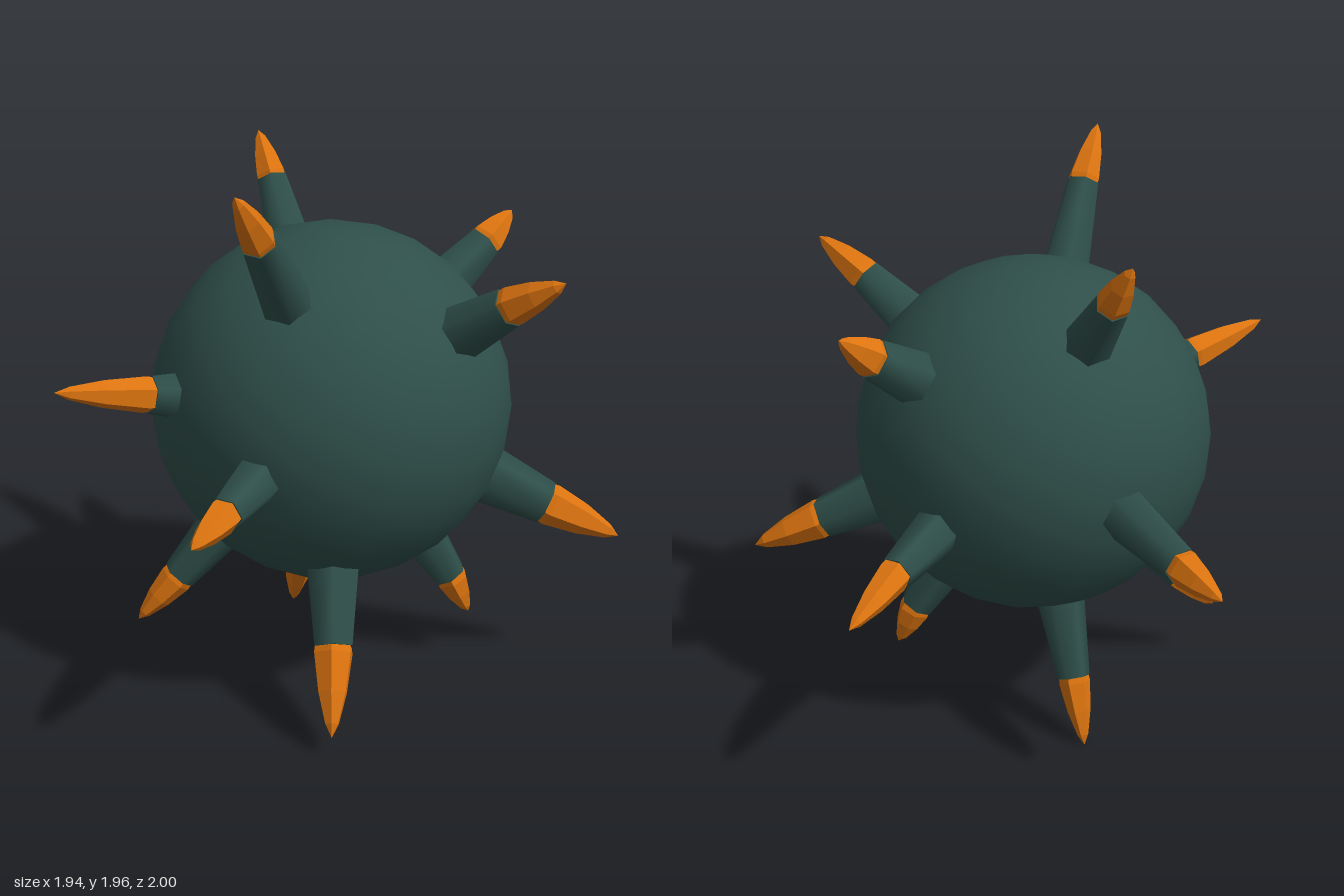
import * as THREE from 'three';

const CENTER = new THREE.Vector3(-0.055, 1.035, 0.047);
const RADIUS = 0.637;
const UP = new THREE.Vector3(0, 1, 0);

// Each spike: stem end, crystal tip, stem end radius
const SPIKES = [
  [[-0.29, 1.78, 0.62], [-0.36, 1.965, 0.76], 0.062],
  [[-0.26, 1.70, -0.48], [-0.31, 1.86, -0.58], 0.06],
  [[0.52, 1.50, 0.44], [0.69, 1.62, 0.56], 0.07],
  [[0.51, 1.49, -0.35], [0.62, 1.59, -0.43], 0.07],
  [[-0.41, 0.93, 0.80], [-0.51, 0.90, 1.0], 0.062],
  [[-0.46, 0.92, -0.81], [-0.56, 0.89, -1.0], 0.066],
  [[0.46, 0.83, -0.61], [0.62, 0.75, -0.84], 0.062],
  [[0.71, 0.67, 0.15], [0.97, 0.55, 0.18], 0.078],
  [[0.38, 0.34, 0.05], [0.45, 0.19, 0.05], 0.062],
  [[-0.06, 0.33, 0.58], [-0.07, 0.08, 0.76], 0.075],
  [[-0.17, 0.23, -0.33], [-0.20, 0.005, -0.43], 0.058],
  [[-0.61, 0.39, 0.13], [-0.76, 0.23, 0.16], 0.062],
  [[-0.67, 1.18, 0.37], [-0.97, 1.25, 0.53], 0.066],
];

// Place a +y aligned mesh at a point, pointing along a direction
function aim(mesh, origin, direction) {
  mesh.position.copy(origin);
  mesh.quaternion.setFromUnitVectors(UP, direction);
  return mesh;
}

// Tapered six-sided stem, sunk into the ball
function makeStem(end, endRadius, material) {
  const direction = end.clone().sub(CENTER);
  const reach = direction.length();
  direction.normalize();
  const start = 0.55;
  const length = reach - start;
  const baseRadius = endRadius + 0.034 * Math.min(1, length / 0.25);
  const geometry = new THREE.CylinderGeometry(endRadius, baseRadius, length, 6);
  geometry.translate(0, start + length / 2, 0);
  const stem = aim(new THREE.Mesh(geometry, material), CENTER, direction);
  stem.name = 'spikeStem';
  return stem;
}

// Faceted crystal rising from the stem end to a sharp tip
function makeCrystal(end, tip, stemRadius, material) {
  const direction = tip.clone().sub(end);
  const length = direction.length();
  direction.normalize();
  const profile = [
    [0, -0.05], [stemRadius * 0.85, -0.04], [stemRadius * 0.97, 0.02],
    [stemRadius * 0.72, length * 0.5], [stemRadius * 0.34, length * 0.85], [0, length],
  ].map(([r, y]) => new THREE.Vector2(r, y));
  const geometry = new THREE.LatheGeometry(profile, 6).toNonIndexed();
  geometry.computeVertexNormals();
  const crystal = aim(new THREE.Mesh(geometry, material), end, direction);
  crystal.name = 'spikeCrystal';
  return crystal;
}

export function createModel() {
  const model = new THREE.Group();
  model.name = 'spikedBall';
  const shell = new THREE.MeshStandardMaterial({ color: 0x2f4f4a });
  shell.name = 'dark teal';
  const amber = new THREE.MeshStandardMaterial({ color: 0xdb730f });
  amber.name = 'orange';

  // Round body
  const ball = new THREE.Mesh(new THREE.IcosahedronGeometry(RADIUS, 4), shell);
  ball.position.copy(CENTER);
  ball.name = 'ball';
  model.add(ball);

  // Spikes around the body
  for (const [e, t, r] of SPIKES) {
    const end = new THREE.Vector3(...e);
    const tip = new THREE.Vector3(...t);
    const spike = new THREE.Group();
    spike.name = 'spike';
    spike.add(makeStem(end, r, shell), makeCrystal(end, tip, r, amber));
    model.add(spike);
  }
  return model;
}
